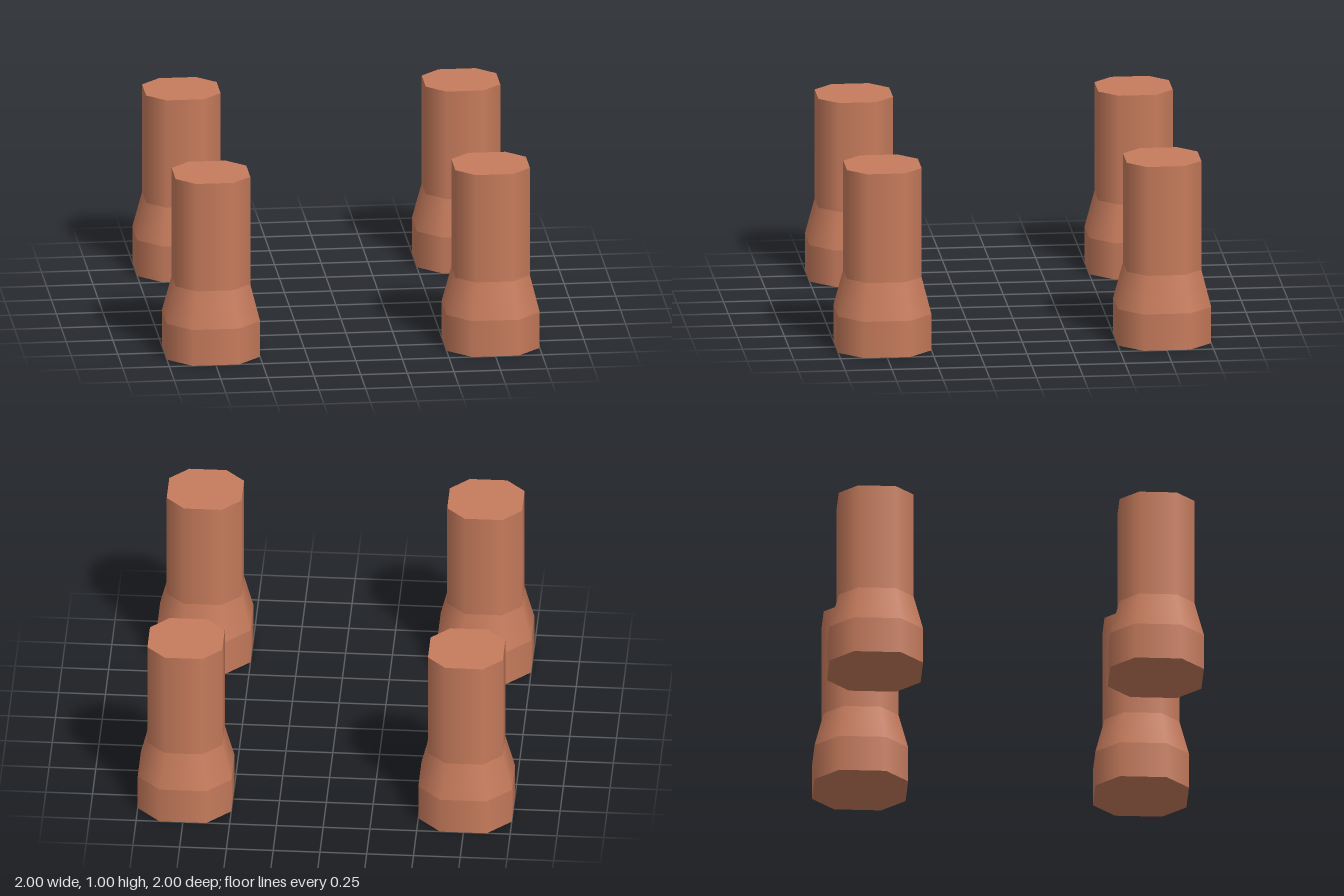
import * as THREE from 'three';
import { mergeGeometries } from 'three/addons/utils/BufferGeometryUtils.js';

const ANGLE = Math.PI / 8;

// Turn a regular octagonal ring into a square with its corners cut at a quarter of the width
function toCutSquare(geometry) {
  const p = geometry.attributes.position;
  const long = 1 / Math.cos(ANGLE), short = 0.5 / Math.sin(ANGLE);
  for (let i = 0; i < p.count; i++) {
    const x = p.getX(i), z = p.getZ(i);
    const xLong = Math.abs(x) > Math.abs(z);
    p.setX(i, x * (xLong ? long : short));
    p.setZ(i, z * (xLong ? short : long));
  }
  return geometry;
}

// Side band, smooth around, between two heights
function band(bottom, top, y0, y1) {
  const g = new THREE.CylinderGeometry(top, bottom, y1 - y0, 8, 1, true, ANGLE);
  return toCutSquare(g.translate(0, (y0 + y1) / 2, 0));
}

// Flat end face
function cap(radius, y, up) {
  const g = new THREE.CircleGeometry(radius, 8, ANGLE);
  return toCutSquare(g.rotateX(up ? -Math.PI / 2 : Math.PI / 2).translate(0, y, 0));
}

export function createModel() {
  const model = new THREE.Group();
  const terracotta = new THREE.MeshStandardMaterial({ color: 0xc67b5c });
  terracotta.name = 'terracotta';

  const parts = {
    foot: mergeGeometries([cap(0.25, 0, false), band(0.25, 0.25, 0, 0.2)]),
    ankle: band(0.25, 0.2, 0.2, 0.4),
    shaft: mergeGeometries([band(0.2, 0.2, 0.4, 1), cap(0.2, 1, true)]),
  };

  // Four identical legs, one in each corner
  for (const [zName, z] of [['front', 0.75], ['back', -0.75]]) {
    for (const [xName, x] of [['Left', 0.75], ['Right', -0.75]]) {
      const leg = new THREE.Group();
      leg.name = `${zName}${xName}Leg`;
      for (const [name, geometry] of Object.entries(parts)) {
        const mesh = new THREE.Mesh(geometry, terracotta);
        mesh.name = name;
        leg.add(mesh);
      }
      leg.position.set(x, 0, z);
      model.add(leg);
    }
  }
  return model;
}
